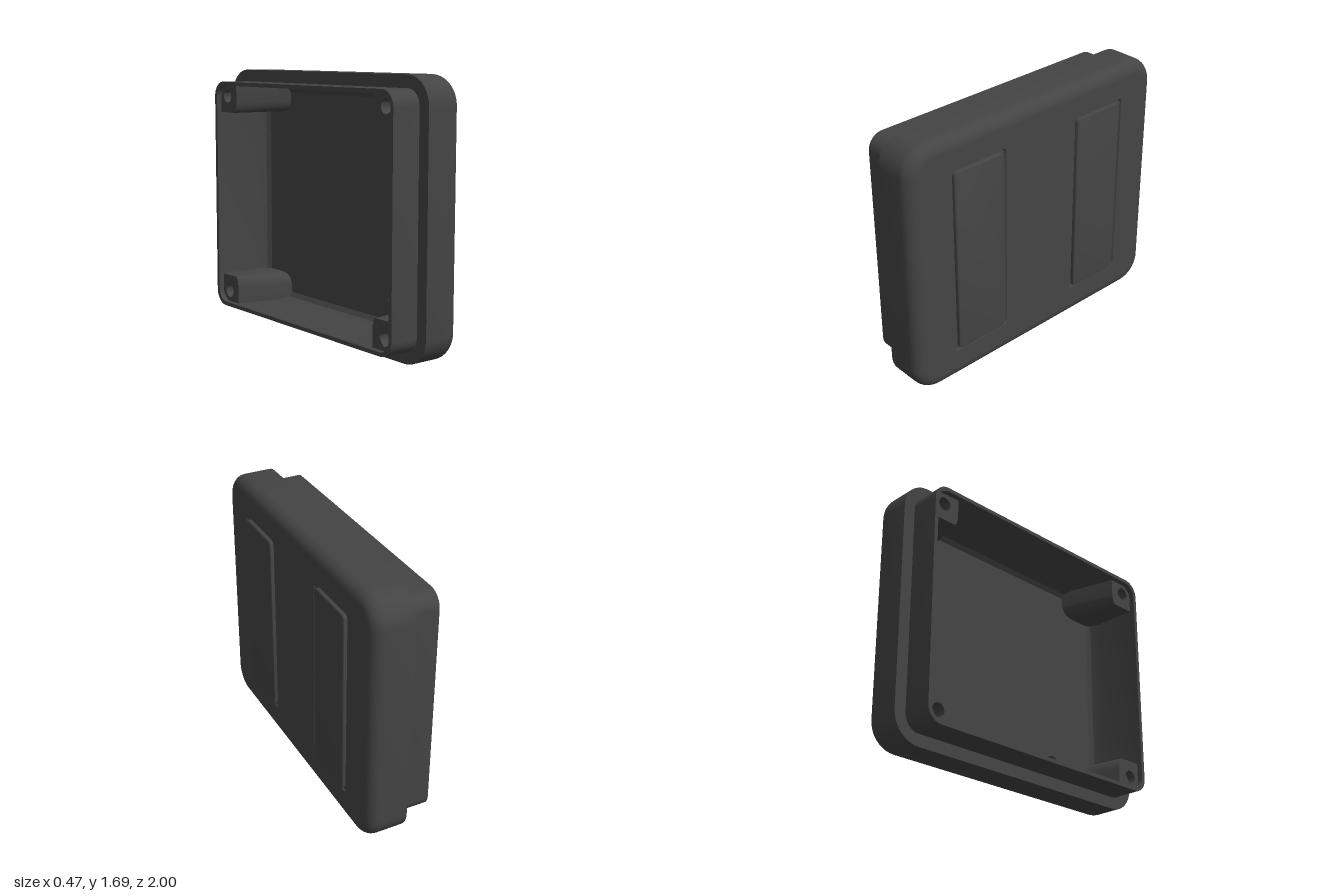
import * as THREE from 'three';
import { toCreasedNormals } from 'three/addons/utils/BufferGeometryUtils.js';

const MID = 0.845; // height of the centre line
const material = new THREE.MeshStandardMaterial({ color: 0x444444, side: THREE.DoubleSide });

// Rounded rectangle outline, counter-clockwise, u across and v up
function outline(w, h, r, cu = 0, cv = 0, seg = 10) {
  const pts = [];
  for (let c = 0; c < 4; c++) {
    const su = c === 0 || c === 3 ? 1 : -1, sv = c < 2 ? 1 : -1;
    for (let i = 0; i <= seg; i++) {
      const a = (c + i / seg) * Math.PI / 2;
      pts.push(new THREE.Vector2(cu + su * (w - r) + r * Math.cos(a), cv + sv * (h - r) + r * Math.sin(a)));
    }
  }
  return pts;
}

// Skin through rounded rectangles given as [x, halfWidth, halfHeight, radius]
function loft(rings) {
  const pos = [], idx = [];
  let n = 0;
  for (const [x, w, h, r] of rings) {
    const pts = outline(w, h, r);
    n = pts.length;
    for (const p of pts) pos.push(x, p.y + MID, -p.x);
  }
  for (let k = 0; k < rings.length - 1; k++) {
    for (let i = 0; i < n; i++) {
      const a = k * n + i, b = k * n + (i + 1) % n;
      idx.push(a, b, b + n, a, b + n, a + n);
    }
  }
  const g = new THREE.BufferGeometry();
  g.setAttribute('position', new THREE.Float32BufferAttribute(pos, 3));
  g.setIndex(idx);
  return toCreasedNormals(g, 0.6);
}

// Turn a geometry drawn in the u-v plane so that its depth runs along +x
const stand = (g, x) => g.rotateY(Math.PI / 2).translate(x, MID, 0);

function circle(u, v, r) {
  return new THREE.Path().absarc(u, v, r, 0, Math.PI * 2, true);
}

export function createModel() {
  const model = new THREE.Group();
  const add = (name, geometry) => {
    const mesh = new THREE.Mesh(geometry, material);
    mesh.name = name;
    model.add(mesh);
  };

  // Hollow housing: cavity wall, rim, rear box, step, cover side and rounded front edge
  const rings = [
    [0.17, 0.84, 0.69, 0.06], [0.15, 0.87, 0.72, 0.07], [0.09, 0.89, 0.735, 0.07],
    [-0.235, 0.897, 0.742, 0.08], [-0.235, 0.922, 0.767, 0.1],
    [-0.04, 0.922, 0.767, 0.1], [-0.04, 1, 0.845, 0.18],
  ];
  const fillet = 0.08;
  for (let i = 0; i <= 8; i++) {
    const a = i / 8 * Math.PI / 2, inset = fillet * (1 - Math.cos(a));
    rings.push([0.14 + fillet * Math.sin(a), 1 - inset, 0.845 - inset, 0.18 - inset]);
  }
  add('housing', loft(rings));

  // Front face with two shallow pockets
  const face = new THREE.Shape(outline(0.92, 0.765, 0.1));
  for (const s of [-1, 1]) face.holes.push(new THREE.Path(outline(0.217, 0.634, 0.03, s * 0.493, 0)));
  add('frontFace', stand(new THREE.ShapeGeometry(face), 0.22));

  // Pocket and raised pad on each side
  for (const s of [-1, 1]) {
    const pocket = loft([[0.22, 0.217, 0.634, 0.03], [0.21, 0.21, 0.627, 0.025]]);
    add('pocketWall', pocket.translate(0, 0, s * 0.493));
    const base = new THREE.ShapeGeometry(new THREE.Shape(outline(0.21, 0.627, 0.025, s * 0.493, 0)));
    add('pocketFloor', stand(base, 0.21));
    const pad = new THREE.ExtrudeGeometry(new THREE.Shape(outline(0.178, 0.611, 0.02, s * 0.493, 0, 5)), {
      depth: 0.015, bevelThickness: 0.01, bevelSize: 0.009, bevelSegments: 3,
    });
    add('pad', stand(toCreasedNormals(pad, 0.6), 0.21));
  }

  // Cavity floor with a small round socket
  const floor = new THREE.Shape(outline(0.84, 0.69, 0.06));
  floor.holes.push(circle(-0.48, -0.57, 0.055));
  add('cavityFloor', stand(new THREE.ShapeGeometry(floor, 24), 0.17));
  const socket = new THREE.CylinderGeometry(0.055, 0.055, 0.035, 24, 1, true);
  add('socket', socket.rotateZ(Math.PI / 2).translate(0.1875, MID - 0.57, 0.48));

  // Corner screw bosses, wide at the floor and narrower near the rim
  for (const su of [-1, 1]) {
    for (const sv of [-1, 1]) {
      const shape = new THREE.Shape();
      shape.moveTo(su * 0.905, sv * 0.56);
      shape.lineTo(su * 0.905, sv * 0.68);
      shape.lineTo(su * 0.84, sv * 0.75);
      shape.lineTo(su * 0.6, sv * 0.75);
      shape.lineTo(su * 0.6, sv * 0.64);
      shape.quadraticCurveTo(su * 0.61, sv * 0.56, su * 0.72, sv * 0.56);
      shape.closePath();
      shape.holes.push(circle(su * 0.82, sv * 0.67, 0.045));
      const boss = new THREE.ExtrudeGeometry(shape, { depth: 0.37, bevelEnabled: false, curveSegments: 16 });
      const p = boss.attributes.position;
      for (let i = 0; i < p.count; i++) {
        const u = Math.abs(p.getX(i));
        if (p.getZ(i) < 0.01 && u < 0.75) p.setX(i, su * (u + (0.75 - u) * 0.75));
      }
      add('screwBoss', stand(toCreasedNormals(boss, 0.6), -0.2));
    }
  }
  return model;
}
